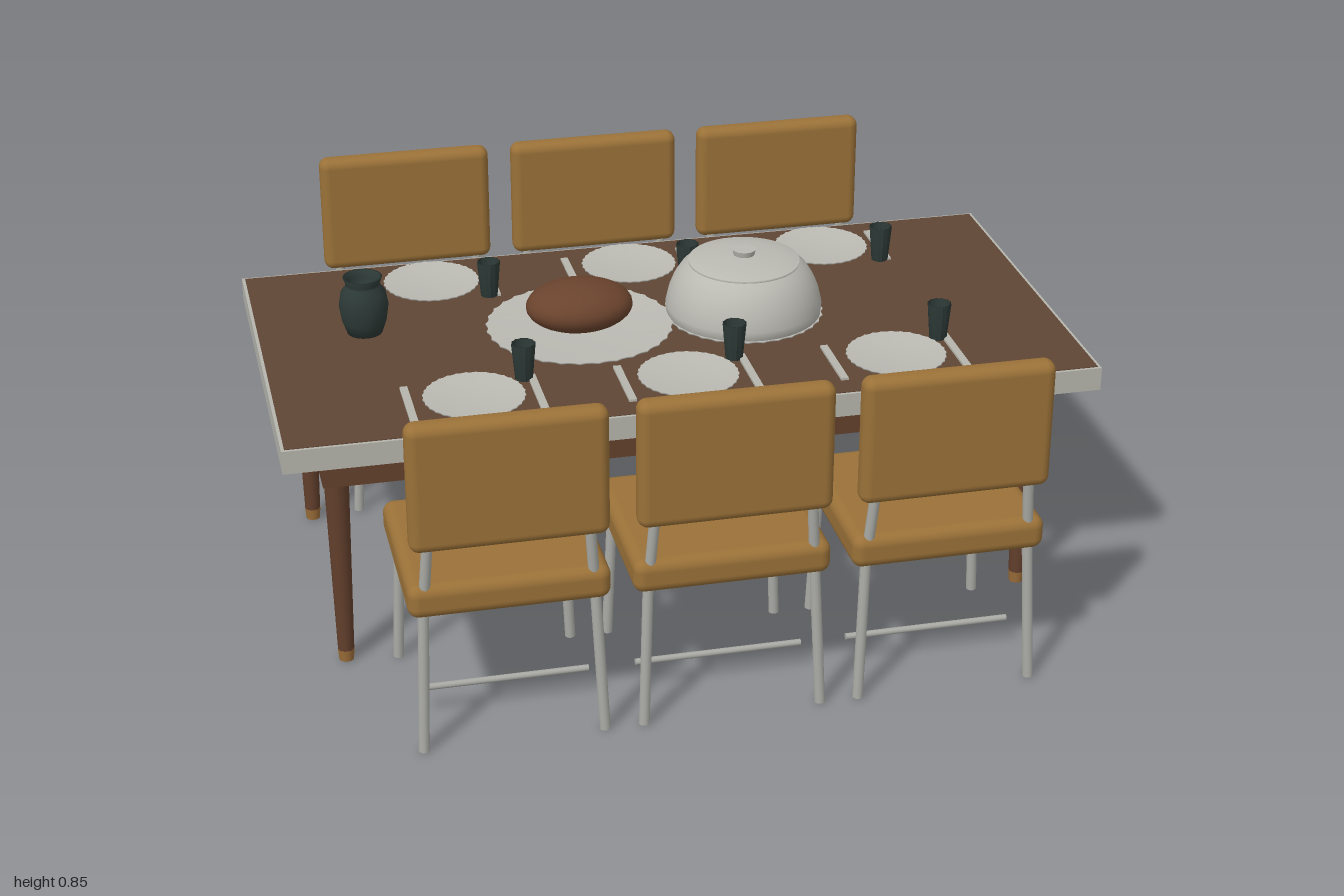
import * as THREE from 'three';
import { RoundedBoxGeometry } from 'three/addons/geometries/RoundedBoxGeometry.js';

const material = (name, color, side = THREE.FrontSide) => {
  const m = new THREE.MeshStandardMaterial({ color, side });
  m.name = name;
  return m;
};

export function createModel() {
  const model = new THREE.Group();
  model.name = 'diningSet';

  const upholstery = material('tanUpholstery', 0x9a7138);
  const metal = material('steel', 0xa9a9a4);
  const trim = material('paleTrim', 0xb5b5ad);
  const topWood = material('tabletopWood', 0x604636);
  const wood = material('darkWood', 0x623f2c);
  const brass = material('brass', 0x9a6c38);
  const china = material('china', 0xbab9b2, THREE.DoubleSide);
  const glass = material('darkGlass', 0x2d3a37, THREE.DoubleSide);
  const meat = material('roastBrown', 0x6a432d);

  const add = (parent, name, geometry, mat, x = 0, y = 0, z = 0) => {
    const mesh = new THREE.Mesh(geometry, mat);
    mesh.name = name;
    mesh.position.set(x, y, z);
    parent.add(mesh);
    return mesh;
  };

  // Straight tube between two points
  const rod = (parent, name, a, b, r) => {
    const from = new THREE.Vector3(...a), to = new THREE.Vector3(...b);
    const dir = to.clone().sub(from);
    const mesh = add(parent, name, new THREE.CylinderGeometry(r, r, dir.length(), 12), metal);
    mesh.position.copy(from).add(to).multiplyScalar(0.5);
    mesh.quaternion.setFromUnitVectors(new THREE.Vector3(0, 1, 0), dir.normalize());
  };

  const lathe = (points, segments = 40) =>
    new THREE.LatheGeometry(points.map(([r, y]) => new THREE.Vector2(r, y)), segments);

  // Shallow dish with a scalloped rim
  const dish = (radius, height) => {
    const g = lathe([[0, 0], [radius * 0.6, 0], [radius, height - 0.004], [radius, height],
      [radius * 0.72, 0.008], [0, 0.007]], 96);
    const p = g.attributes.position;
    for (let i = 0; i < p.count; i++) {
      const x = p.getX(i), z = p.getZ(i);
      if (Math.hypot(x, z) < radius * 0.9) continue;
      const s = 0.985 + 0.015 * Math.cos(Math.atan2(z, x) * 32);
      p.setX(i, x * s);
      p.setZ(i, z * s);
    }
    g.computeVertexNormals();
    return g;
  };

  // Table
  const table = new THREE.Group();
  table.name = 'table';
  model.add(table);
  const topY = 0.657;
  add(table, 'tabletopEdge', new THREE.BoxGeometry(2, 0.059, 1), trim, 0, 0.6255, 0);
  add(table, 'tabletopSurface', new THREE.BoxGeometry(1.984, 0.004, 0.984), topWood, 0, 0.655, 0);
  add(table, 'apron', new THREE.BoxGeometry(1.8, 0.103, 0.8), wood, 0, 0.5465, 0);
  for (const sx of [-1, 1]) for (const sz of [-1, 1]) {
    add(table, 'tableLeg', new THREE.CylinderGeometry(0.03, 0.02, 0.47, 20), wood, sx * 0.865, 0.265, sz * 0.366);
    add(table, 'brassFoot', new THREE.CylinderGeometry(0.0205, 0.018, 0.03, 20), brass, sx * 0.865, 0.015, sz * 0.366);
  }

  // Chairs, with the backrest toward +z before turning
  const chair = () => {
    const g = new THREE.Group();
    g.name = 'chair';
    add(g, 'seat', new RoundedBoxGeometry(0.472, 0.084, 0.45, 4, 0.027), upholstery, 0, 0.39, 0.585);
    add(g, 'backrest', new RoundedBoxGeometry(0.46, 0.32, 0.059, 4, 0.025), upholstery, 0, 0.691, 0.805);
    for (const s of [-1, 1]) {
      rod(g, 'outerLeg', [s * 0.215, 0, 0.81], [s * 0.2, 0.36, 0.786], 0.013);
      rod(g, 'backPost', [s * 0.2, 0.36, 0.786], [s * 0.185, 0.57, 0.802], 0.013);
      rod(g, 'innerLeg', [s * 0.215, 0, 0.382], [s * 0.2, 0.36, 0.386], 0.013);
      rod(g, 'sideRail', [s * 0.2, 0.35, 0.386], [s * 0.2, 0.35, 0.786], 0.011);
    }
    rod(g, 'footBar', [-0.205, 0.08, 0.665], [0.205, 0.08, 0.665], 0.008);
    return g;
  };

  // Place settings and chairs along both long sides
  const plateShape = dish(0.124, 0.016);
  const cutleryShape = new THREE.BoxGeometry(0.019, 0.006, 0.19);
  const cupShape = lathe([[0, 0], [0.021, 0], [0.029, 0.094], [0.026, 0.094], [0.02, 0.012], [0, 0.012]], 24);
  const cp = cupShape.attributes.position;
  for (let i = 0; i < cp.count; i++) {
    const flute = 1 + 0.04 * Math.cos(Math.atan2(cp.getZ(i), cp.getX(i)) * 12);
    cp.setX(i, cp.getX(i) * flute);
    cp.setZ(i, cp.getZ(i) * flute);
  }
  cupShape.computeVertexNormals();
  for (const x of [-0.524, 0, 0.524]) for (const side of [1, -1]) {
    const seat = chair();
    seat.position.x = x;
    seat.rotation.y = side > 0 ? 0 : Math.PI;
    model.add(seat);
    add(model, 'plate', plateShape, china, x, topY, side * 0.34);
    for (const dx of [-0.156, 0.156])
      add(model, 'cutlery', cutleryShape, trim, x + dx, topY + 0.003, side * 0.335);
    add(model, 'cup', cupShape, glass, x + 0.137, topY + 0.001, side * 0.25);
  }

  // Platter with roast
  add(model, 'platter', dish(0.236, 0.016), china, -0.2, topY, 0);
  const roast = add(model, 'roast', new THREE.SphereGeometry(1, 28, 18), meat, -0.2, 0.724, 0);
  roast.scale.set(0.135, 0.062, 0.108);

  // Covered serving dish
  add(model, 'servingDish', dish(0.202, 0.012), china, 0.224, topY, 0);
  add(model, 'servingBowl', lathe([[0.185, 0.002], [0.196, 0.012], [0.198, 0.035], [0.19, 0.07],
    [0.178, 0.1], [0.16, 0.128], [0.14, 0.144]], 48), china, 0.224, topY, 0);
  add(model, 'servingLid', lathe([[0.137, 0.14], [0.14, 0.143], [0.14, 0.15], [0.09, 0.158],
    [0.03, 0.163], [0, 0.164]], 48), china, 0.224, topY, 0);
  add(model, 'lidKnob', new THREE.CylinderGeometry(0.03, 0.026, 0.016, 24), china, 0.224, topY + 0.17, 0);

  // Vase
  add(model, 'vase', lathe([[0, 0], [0.044, 0], [0.056, 0.035], [0.062, 0.075], [0.056, 0.11], [0.043, 0.127],
    [0.043, 0.134], [0.049, 0.15], [0.044, 0.15], [0.038, 0.132], [0.035, 0.1], [0, 0.09]], 28),
    glass, -0.728, topY, -0.103);

  return model;
}
